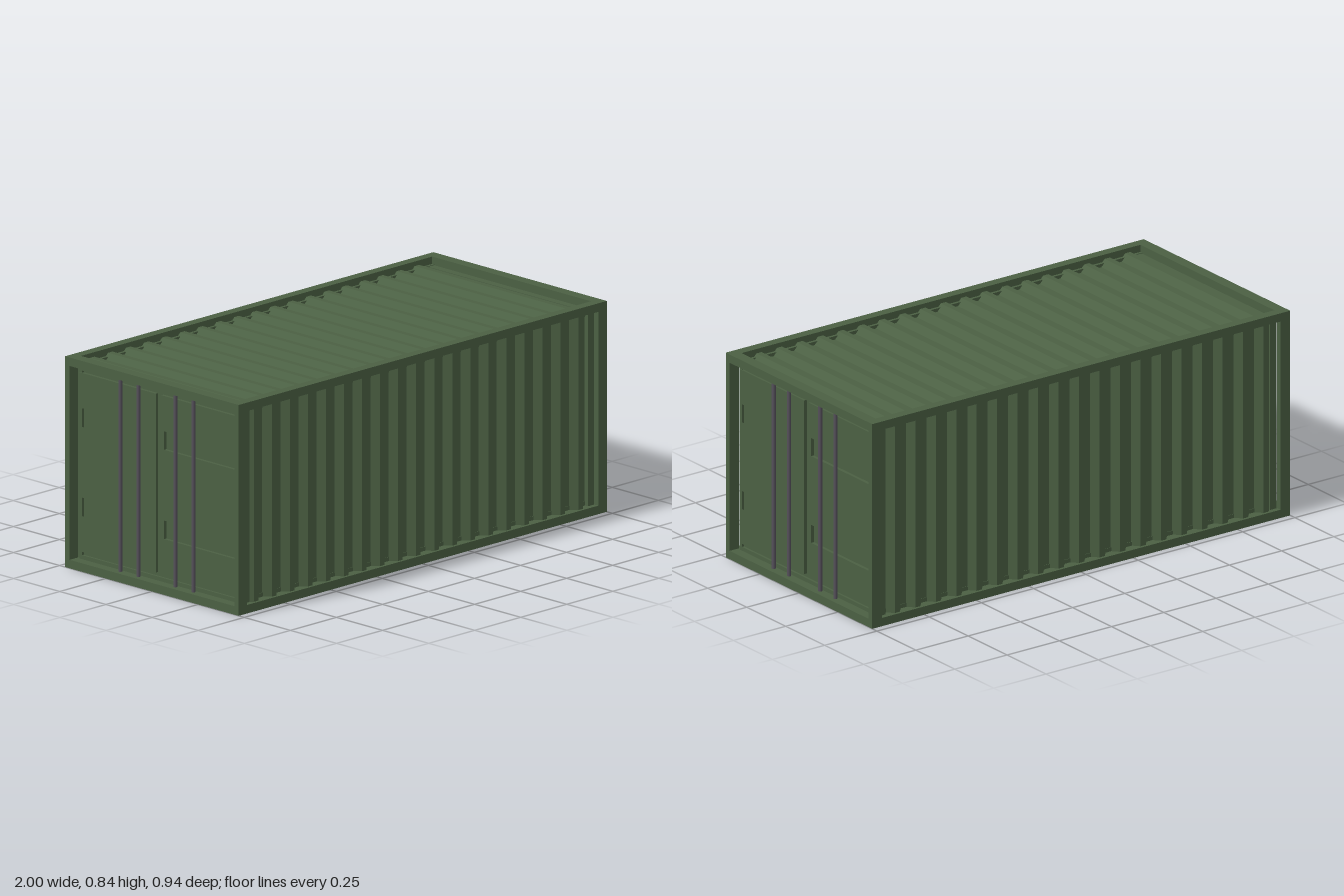
import * as THREE from 'three';

const green = new THREE.MeshStandardMaterial({ color: 0x4b6043 });
const steel = new THREE.MeshStandardMaterial({ color: 0x55505a });
const H = 0.843, W = 0.47, RAIL = 0.034, POST_X = 0.046, POST_Z = 0.024, RAIL_Z = 0.04;

// Box given by its minimum and maximum corners
function box(name, a, b) {
  const m = new THREE.Mesh(new THREE.BoxGeometry(b[0] - a[0], b[1] - a[1], b[2] - a[2]), green);
  m.position.set((a[0] + b[0]) / 2, (a[1] + b[1]) / 2, (a[2] + b[2]) / 2);
  m.name = name;
  return m;
}

function rect(path, x0, y0, x1, y1) {
  path.moveTo(x0, y0);
  path.lineTo(x1, y0);
  path.lineTo(x1, y1);
  path.lineTo(x0, y1);
  path.closePath();
  return path;
}

// Trapezoid corrugation along x: ridges rise to y = 0, valleys lie at -depth
function corrugated(length, depth) {
  const pitch = 0.098, q = pitch / 4, s = new THREE.Shape();
  s.moveTo(-0.96, -depth - 0.012);
  s.lineTo(-0.96, -depth);
  for (let i = 0; i < 19; i++) {
    const x = -0.881 + i * pitch;
    s.lineTo(x - 2 * q, -depth);
    s.lineTo(x - q, 0);
    s.lineTo(x, 0);
    s.lineTo(x + q, -depth);
  }
  s.lineTo(0.96, -depth);
  s.lineTo(0.96, -depth - 0.012);
  s.closePath();
  const g = new THREE.ExtrudeGeometry(s, { depth: length, bevelEnabled: false });
  return g.translate(0, 0, -length / 2);
}

// Pair of doors, built facing +z
function doorEnd() {
  const end = new THREE.Group();
  end.name = 'doorEnd';
  end.add(box('doorBase', [-0.448, 0.03, 0.92], [0.448, 0.812, 0.951]));
  for (const s of [-1, 1]) {
    // Raised leaf with two pressed bands
    const leaf = rect(new THREE.Shape(), s * 0.015, 0.065, s * 0.43, 0.78);
    for (const y of [0.208, 0.565]) {
      leaf.holes.push(rect(new THREE.Path(), s * 0.03, y, s * 0.415, y + 0.074));
    }
    const panel = new THREE.Mesh(new THREE.ExtrudeGeometry(leaf, { depth: 0.013, bevelEnabled: false }), green);
    panel.position.z = 0.951;
    panel.name = 'doorPanel';
    end.add(panel);
    // Locking rods
    for (const x of [0.1, 0.198]) {
      const rod = new THREE.Mesh(new THREE.CylinderGeometry(0.008, 0.008, 0.776, 12), steel);
      rod.position.set(s * x, 0.422, 0.973);
      rod.name = 'lockingRod';
      end.add(rod);
    }
  }
  return end;
}

export function createModel() {
  const model = new THREE.Group();
  model.name = 'shippingContainer';

  // Frame of rails and corner posts
  const frame = new THREE.Group();
  frame.name = 'frame';
  const span = (s, inner, outer) => (s > 0 ? [inner, outer] : [-outer, -inner]);
  for (const s of [-1, 1]) {
    const [z0, z1] = span(s, W - RAIL_Z, W);
    const [x0, x1] = span(s, 1 - POST_X, 1);
    for (const y of [0, H - RAIL]) {
      frame.add(box('sideRail', [-1, y, z0], [1, y + RAIL, z1]));
      frame.add(box('endRail', [x0, y, RAIL_Z - W], [x1, y + RAIL, W - RAIL_Z]));
    }
    for (const t of [-1, 1]) {
      const [p0, p1] = span(t, W - POST_Z, W);
      frame.add(box('cornerPost', [x0, RAIL, p0], [x1, H - RAIL, p1]));
    }
  }
  model.add(frame);

  // Corrugated side walls and roof
  const wallGeo = corrugated(0.785, 0.028);
  for (const s of [-1, 1]) {
    const wall = new THREE.Mesh(wallGeo, green);
    wall.rotation.x = s * Math.PI / 2;
    wall.position.set(0, 0.4215, s * 0.458);
    wall.name = 'sideWall';
    model.add(wall);
  }
  const roof = new THREE.Mesh(corrugated(0.862, 0.025), green);
  roof.position.y = 0.825;
  roof.name = 'roof';
  model.add(roof);

  // Floor set up inside the bottom rails
  model.add(box('floor', [-0.96, 0.033, -0.432], [0.96, 0.05, 0.432]));

  // Doors at both ends
  for (const s of [-1, 1]) {
    const end = doorEnd();
    end.rotation.y = s * Math.PI / 2;
    model.add(end);
  }
  return model;
}
